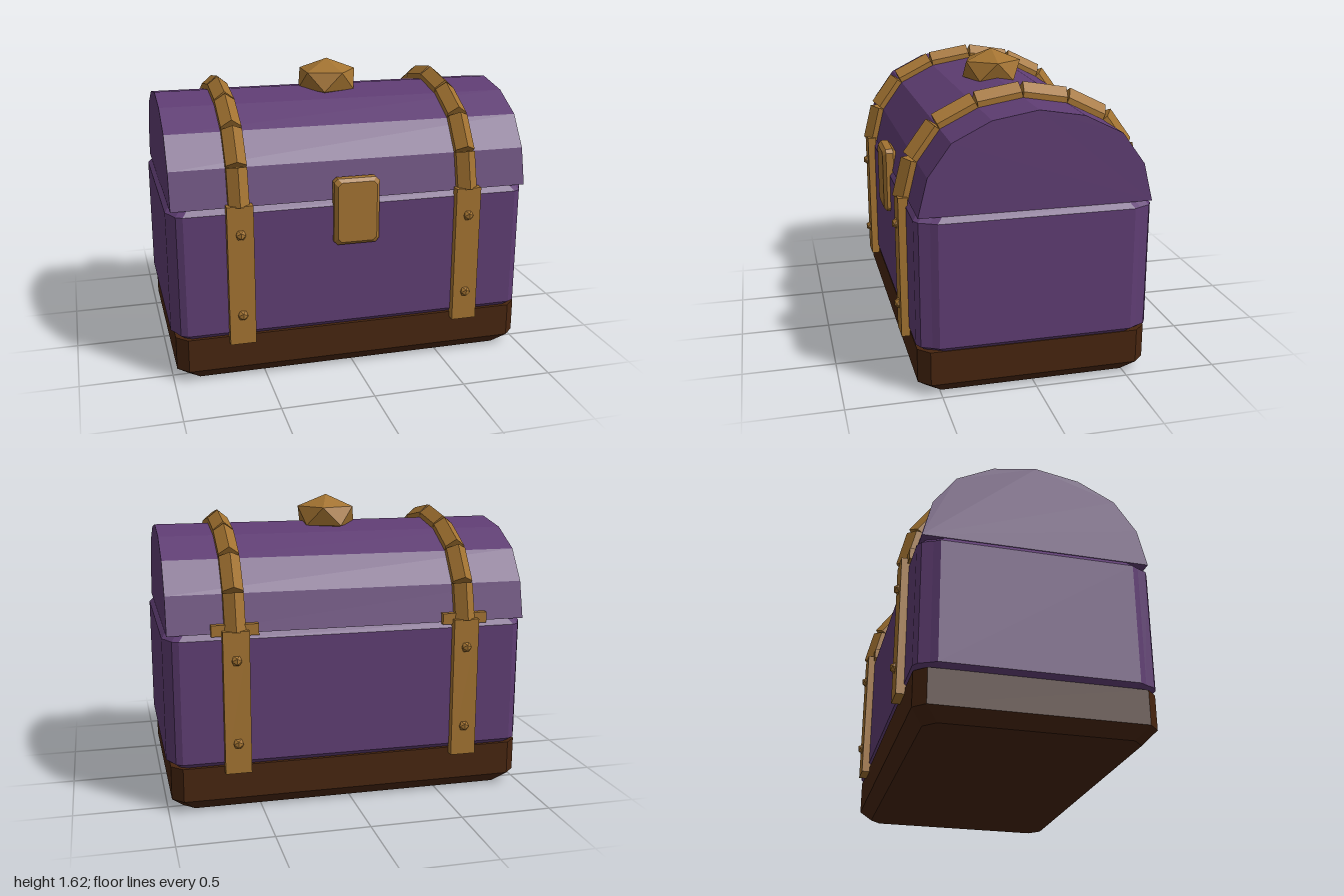
import * as THREE from 'three';

const material = (name, color) => {
  const m = new THREE.MeshStandardMaterial({ color });
  m.name = name;
  return m;
};

// Closed solid from stacked horizontal rings, flat faces with capped ends
function loft(rings) {
  const pos = [];
  const tri = (...p) => p.forEach(v => pos.push(...v));
  const n = rings[0].length;
  for (let i = 0; i < n; i++) {
    const j = (i + 1) % n;
    for (let r = 0; r + 1 < rings.length; r++) {
      const a = rings[r], b = rings[r + 1];
      tri(a[i], a[j], b[j]);
      tri(a[i], b[j], b[i]);
    }
    const bottom = rings[0], top = rings[rings.length - 1];
    tri([0, bottom[0][1], 0], bottom[j], bottom[i]);
    tri([0, top[0][1], 0], top[i], top[j]);
  }
  const g = new THREE.BufferGeometry();
  g.setAttribute('position', new THREE.Float32BufferAttribute(pos, 3));
  g.computeVertexNormals();
  return g;
}

// Mirrors the corner points (front to side) into all four corners, pulled in by inset
function ring(corner, y, inset = 0) {
  const q = corner.map(([x, z]) => [x - inset, z - inset]);
  const r = [...q].reverse();
  return [
    ...q.map(([x, z]) => [x, y, z]),
    ...r.map(([x, z]) => [x, y, -z]),
    ...q.map(([x, z]) => [-x, y, -z]),
    ...r.map(([x, z]) => [-x, y, z]),
  ];
}

export function createModel() {
  const purple = material('purple panels', 0x5f3d73);
  const brown = material('dark wood', 0x47250f);
  const brass = material('brass', 0xa37331);
  const chest = new THREE.Group();
  chest.name = 'chest';

  const add = (name, geometry, mat, x = 0, y = 0, z = 0, parent = chest) => {
    const mesh = new THREE.Mesh(geometry, mat);
    mesh.name = name;
    mesh.position.set(x, y, z);
    parent.add(mesh);
    return mesh;
  };

  // Wooden plinth with chamfered corners and lower edge
  const plinth = [[0.92, 0.615], [0.98, 0.555]];
  add('base', loft([ring(plinth, 0, 0.063), ring(plinth, 0.065), ring(plinth, 0.25)]), brown);

  // Body with slightly raised walls and bevelled corners
  const wall = [[0.92, 0.62], [0.955, 0.6], [0.98, 0.545], [1.0, 0.51]];
  add('body', loft([
    ring(wall, 0.25, 0.025), ring(wall, 0.275), ring(wall, 0.94), ring(wall, 0.97, 0.025),
  ]), purple);

  // Faceted barrel lid; arch points are [z, y] from back to front
  const half = [[-0.605, 0.97], [-0.555, 1.17], [-0.435, 1.335], [-0.235, 1.435]];
  const arch = [...half, [0, 1.475], ...[...half].reverse().map(([z, y]) => [-z, y])];
  const lid = new THREE.ExtrudeGeometry(
    new THREE.Shape(arch.map(([z, y]) => new THREE.Vector2(z, y))),
    { depth: 1.96, bevelEnabled: false });
  lid.translate(0, 0, -0.98).rotateY(Math.PI / 2);
  add('lid', lid, purple);

  // Ridged cross-section of the bands over the lid
  const ridge = new THREE.Shape([[-0.055, -0.01], [0.055, -0.01], [0.055, 0.03], [0, 0.075], [-0.055, 0.03]]
    .map(([x, y]) => new THREE.Vector2(x, y)));
  const rivet = new THREE.IcosahedronGeometry(0.031, 0);
  rivet.computeVertexNormals();

  for (const x of [-0.63, 0.63]) {
    const strap = new THREE.Group();
    strap.name = x > 0 ? 'leftStrap' : 'rightStrap';
    chest.add(strap);

    // One straight link per lid facet
    for (let i = 0; i + 1 < arch.length; i++) {
      const [z0, y0] = arch[i], [z1, y1] = arch[i + 1];
      const link = new THREE.ExtrudeGeometry(ridge, {
        depth: Math.hypot(z1 - z0, y1 - y0), bevelEnabled: false,
      });
      add('lidBand', link, brass, x, y0, z0, strap).rotation.x = Math.atan2(y0 - y1, z1 - z0);
    }

    // Flat straps and rivets on the front and back walls
    for (const s of [-1, 1]) {
      add('wallStrap', new THREE.BoxGeometry(0.14, 0.77, 0.05), brass, x, 0.605, s * 0.635, strap);
      for (const y of [0.385, 0.835]) add('rivet', rivet, brass, x, y, s * 0.657, strap);
    }

    // Hinge bar across the back seam
    add('hinge', new THREE.BoxGeometry(0.25, 0.06, 0.045), brass, x, 0.99, -0.605, strap);
  }

  // Latch plate with bevelled edges, lofted upright then turned to face forward
  const plate = [[0.105, 0.183], [0.125, 0.163]];
  const latch = loft([
    ring(plate, -0.038, 0.018), ring(plate, -0.02), ring(plate, 0.02), ring(plate, 0.038, 0.018),
  ]);
  latch.rotateX(Math.PI / 2);
  add('latch', latch, brass, 0, 0.908, 0.618);

  // Squashed twenty-sided knob: two opposed five-point rings between two poles
  const five = (y, r, turn) => Array.from({ length: 5 }, (_, i) => {
    const a = turn + i * Math.PI * 2 / 5;
    return [Math.cos(a) * r, y, -Math.sin(a) * r];
  });
  const h = 0.116, r = 0.166;
  const knob = loft([
    five(-h, 0.0001, 0), five(-h * 0.447, r, Math.PI / 5), five(h * 0.447, r, 0), five(h, 0.0001, 0),
  ]);
  add('knob', knob, brass, 0, 1.508, 0);

  return chest;
}
